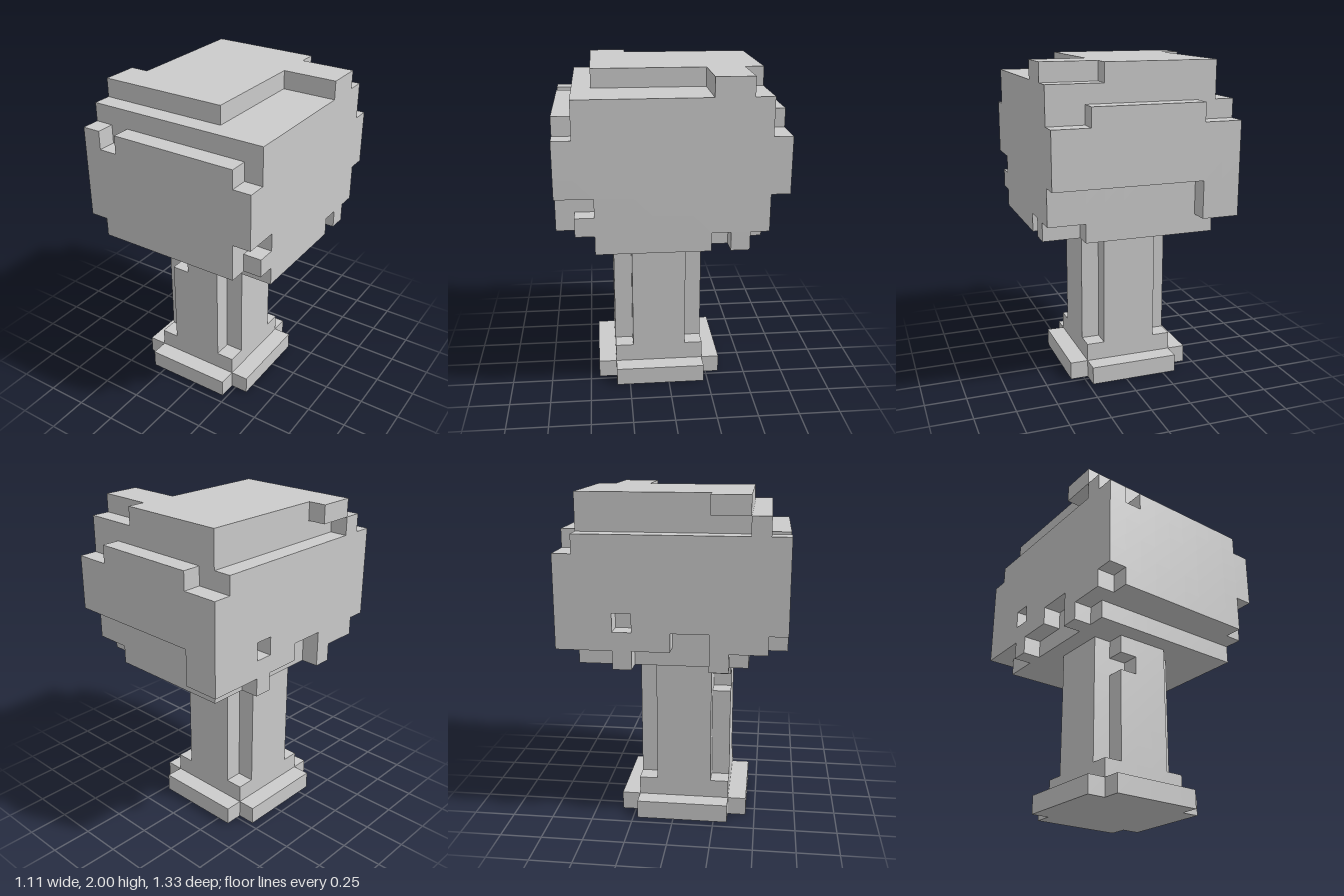
import * as THREE from 'three';

const UNIT = 1 / 9; // edge length of one block
const material = new THREE.MeshStandardMaterial({ color: 0xcccccc, flatShading: true });

export function createModel() {
  const cells = new Map(); // "x,y,z" -> part name
  const key = (p) => p.join(',');

  // Visit every block of a box given as [x0, x1], [y0, y1], [z0, z1]
  const each = ([x0, x1], [y0, y1], [z0, z1], visit) => {
    for (let x = x0; x < x1; x++)
      for (let y = y0; y < y1; y++)
        for (let z = z0; z < z1; z++) visit(key([x, y, z]));
  };
  const fill = (part, x, y, z) => each(x, y, z, (k) => cells.set(k, part));
  const carve = (x, y, z) => each(x, y, z, (k) => cells.delete(k));

  // Base: cross-shaped foot with a square plinth
  fill('base', [-4, 3], [0, 1], [-2, 3]);
  fill('base', [-3, 2], [0, 1], [-3, 4]);
  fill('base', [-3, 2], [1, 2], [-2, 3]);

  // Trunk: square post with recessed corners and one chip at the front
  fill('trunk', [-3, 2], [2, 9], [-2, 3]);
  for (const x of [-3, 1])
    for (const z of [-2, 2]) carve([x, x + 1], [2, 9], [z, z + 1]);
  carve([-2, -1], [7, 8], [2, 3]);

  // Canopy underside
  fill('canopy', [-5, 5], [9, 10], [-5, 4]);
  carve([3, 5], [9, 10], [-5, -4]);
  carve([4, 5], [9, 10], [-3, -2]);
  for (const z of [[-5, -3], [-2, 2], [3, 4]]) carve([-5, -4], [9, 10], z);

  // Canopy body with irregular notches
  fill('canopy', [-5, 5], [10, 16], [-6, 6]);
  carve([-4, -3], [15, 16], [5, 6]); // front
  carve([4, 5], [15, 16], [5, 6]);
  carve([-5, -4], [10, 11], [5, 6]);
  carve([4, 5], [11, 12], [4, 6]);
  carve([4, 5], [10, 11], [5, 6]);
  carve([-5, -3], [15, 16], [-6, -5]); // back
  carve([3, 5], [15, 16], [-6, -5]);
  carve([-3, 5], [10, 12], [-6, -5]);
  carve([-5, -4], [11, 12], [-3, -2]); // side
  carve([-5, -4], [10, 11], [0, 2]);

  // Canopy upper layers
  fill('canopy', [-5, 5], [16, 17], [-5, 5]);
  carve([-5, -4], [16, 17], [-5, 4]);
  fill('canopy', [-4, 2], [17, 18], [-5, 4]);
  fill('canopy', [-5, -4], [17, 18], [2, 4]);
  fill('canopy', [2, 5], [17, 18], [-4, -2]);

  // Skin each part with its exposed block faces only
  const skin = (part) => {
    const positions = [];
    for (const [k, owner] of cells) {
      if (owner !== part) continue;
      const cell = k.split(',').map(Number);
      for (let axis = 0; axis < 3; axis++) {
        for (const side of [-1, 1]) {
          const neighbour = [...cell];
          neighbour[axis] += side;
          if (cells.has(key(neighbour))) continue;
          const corner = (u, v) => {
            const p = [...cell];
            if (side > 0) p[axis] += 1;
            p[(axis + 1) % 3] += u;
            p[(axis + 2) % 3] += v;
            return p.map((n) => n * UNIT);
          };
          const quad = [corner(0, 0), corner(1, 0), corner(1, 1), corner(0, 1)];
          if (side < 0) quad.reverse();
          for (const i of [0, 1, 2, 0, 2, 3]) positions.push(...quad[i]);
        }
      }
    }
    const geometry = new THREE.BufferGeometry();
    geometry.setAttribute('position', new THREE.Float32BufferAttribute(positions, 3));
    geometry.computeVertexNormals();
    const mesh = new THREE.Mesh(geometry, material);
    mesh.name = part;
    return mesh;
  };

  const tree = new THREE.Group();
  tree.name = 'blockTree';
  for (const part of ['base', 'trunk', 'canopy']) tree.add(skin(part));
  return tree;
}
